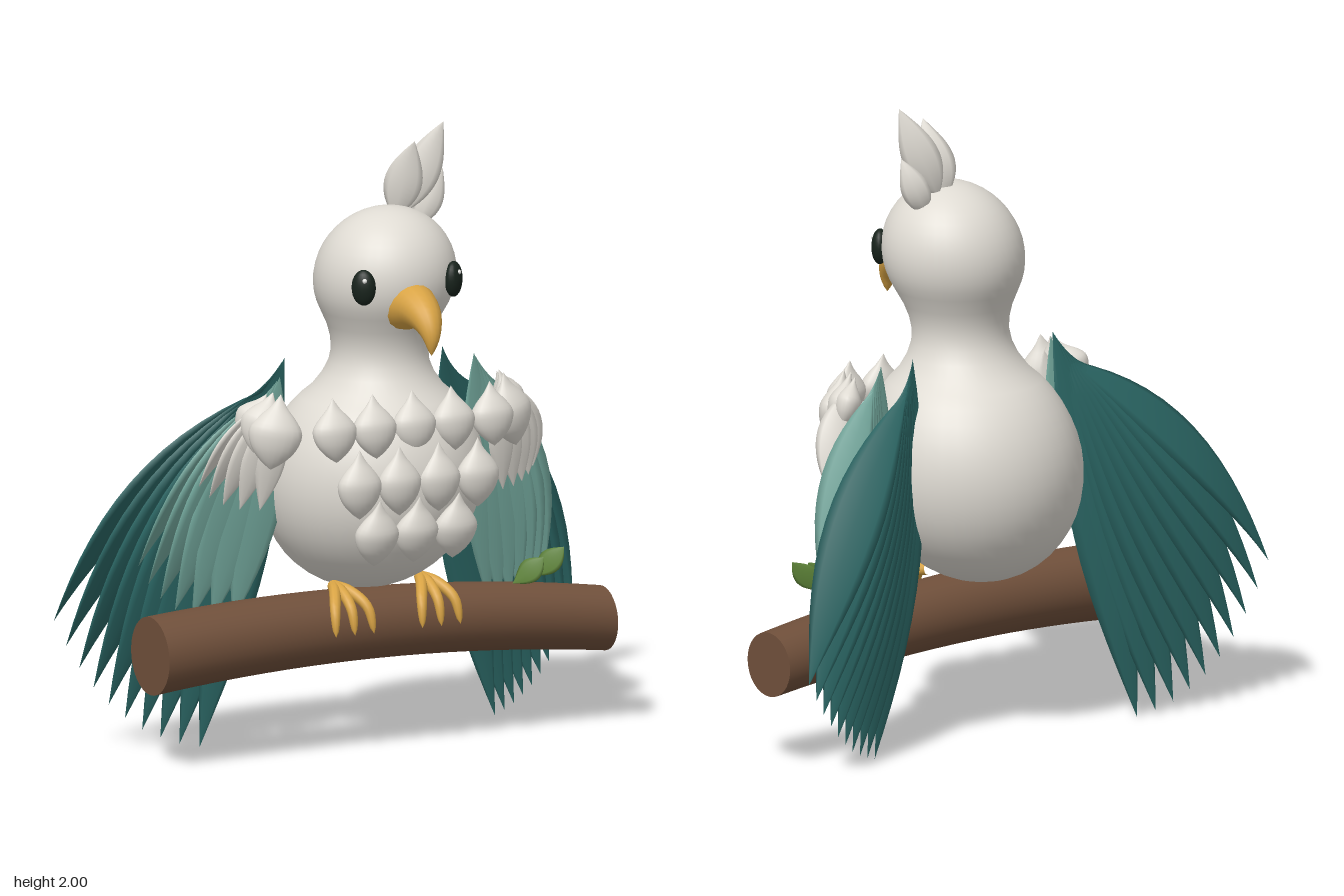
import * as THREE from 'three';

const mat = (name, color) => Object.assign(new THREE.MeshStandardMaterial({ color }), { name });
const V = (a) => new THREE.Vector3(...a);

export function createModel() {
  const white = mat('plumage white', 0xdfdbd3);
  const teal = mat('dark teal', 0x2a6563);
  const paleTeal = mat('pale teal', 0x72a69b);
  const gold = mat('beak gold', 0xd9a445);
  const brown = mat('bark brown', 0x70503b);
  const green = mat('leaf green', 0x5f8539);
  const black = mat('eye black', 0x18231c);
  const glint = mat('eye glint', 0xf2f2ee);

  const model = new THREE.Group();
  model.name = 'perchedBird';
  // the bird and its branch are turned towards the model's left
  const bird = new THREE.Group();
  bird.name = 'birdAndBranch';
  bird.position.set(0.071, 0, -0.046);
  bird.rotation.y = 0.573;
  model.add(bird);

  const add = (name, geometry, material, parent = bird) => {
    const mesh = new THREE.Mesh(geometry, material);
    mesh.name = name;
    parent.add(mesh);
    return mesh;
  };
  const group = (name) => {
    const g = new THREE.Group();
    g.name = name;
    bird.add(g);
    return g;
  };

  // Sweep an oval section along a curve; width and height vary with t
  function sweep(curve, normal, width, height, rows = 14, sides = 8) {
    const pos = [], index = [];
    for (let j = 0; j <= rows; j++) {
      const t = j / rows, c = curve.getPoint(t), T = curve.getTangent(t);
      const S = normal.clone().cross(T).normalize(), N = T.clone().cross(S);
      for (let i = 0; i < sides; i++) {
        const a = (i / sides) * Math.PI * 2;
        const p = c.clone().addScaledVector(S, Math.cos(a) * width(t)).addScaledVector(N, Math.sin(a) * height(t));
        pos.push(p.x, p.y, p.z);
        if (j < rows) {
          const k = (i + 1) % sides, o = j * sides;
          index.push(o + i, o + k, o + sides + i, o + k, o + sides + k, o + sides + i);
        }
      }
    }
    const g = new THREE.BufferGeometry();
    g.setAttribute('position', new THREE.Float32BufferAttribute(pos, 3));
    g.setIndex(index);
    g.computeVertexNormals();
    return g;
  }

  // Pointed feather with a bowed spine
  function feather(base, tip, bow, normal, half, thick, peak = 1) {
    const mid = base.clone().lerp(tip, 0.5).add(bow);
    const curve = new THREE.QuadraticBezierCurve3(base, mid, tip);
    const leaf = (t) => Math.max(0.0005, Math.sin(Math.PI * Math.pow(t, peak)));
    return sweep(curve, normal, (t) => half * leaf(t), (t) => thick * leaf(t));
  }

  // Body, neck and head: one turned profile leaning forward, the belly slightly flattened in front
  const profile = [];
  for (let a = -90; a <= 54; a += 8) {
    const r = THREE.MathUtils.degToRad(a);
    profile.push(new THREE.Vector2(Math.max(0, 0.355 * Math.cos(r)), 0.86 + 0.366 * Math.sin(r)));
  }
  [[0.177, 1.2], [0.159, 1.24], [0.153, 1.28], [0.158, 1.32], [0.171, 1.36]].forEach((p) => profile.push(new THREE.Vector2(...p)));
  for (let a = -30; a <= 90; a += 8) {
    const r = THREE.MathUtils.degToRad(a);
    profile.push(new THREE.Vector2(0.225 * Math.cos(r), 1.52 + 0.225 * Math.sin(r)));
  }
  profile.push(new THREE.Vector2(0, 1.745));
  const bodyGeo = new THREE.LatheGeometry(profile, 40);
  const bp = bodyGeo.attributes.position;
  for (let i = 0; i < bp.count; i++) {
    const y = bp.getY(i), belly = 1 - THREE.MathUtils.smoothstep(y, 1.0, 1.3);
    bp.setX(i, bp.getX(i) + 0.013 * belly);
    bp.setZ(i, bp.getZ(i) * (1 - 0.045 * belly) + 0.079 + 0.142 * (y - 0.86) - 0.014 * belly);
  }
  add('body', bodyGeo, white);

  // Beak
  const beakCurve = new THREE.CatmullRomCurve3([[-0.01, 1.455, 0.325], [-0.012, 1.457, 0.405], [-0.016, 1.43, 0.473], [-0.021, 1.385, 0.512], [-0.025, 1.325, 0.522]].map(V));
  const beakR = (t) => 0.083 * Math.pow(Math.max(0, 1 - t), 0.75) + 0.0005;
  add('beak', sweep(beakCurve, V([1, 0, 0]), beakR, beakR, 16, 16), gold);

  // Eyes with a small glint
  for (const s of [-1, 1]) {
    const x = s * 0.157 - 0.014, z = 0.353 + s * 0.007;
    const eye = add('eye', new THREE.SphereGeometry(1, 20, 14), black);
    eye.scale.set(0.039, 0.057, 0.027);
    eye.position.set(x, 1.525, z);
    eye.rotation.y = s * 0.72;
    const dot = add('eyeGlint', new THREE.SphereGeometry(0.008, 8, 6), glint);
    dot.position.set(x + s * 0.008, 1.55, z + 0.021);
  }

  // Crest
  const crest = group('crest');
  const outward = V([-0.54, 0, 0.84]);
  [
    [[0.07, 1.71, 0.165], [0.184, 2.0, 0.22], 0.06],
    [[0.035, 1.7, 0.17], [0.073, 1.95, 0.235], 0.06],
    [[0.12, 1.66, 0.165], [0.196, 1.845, 0.195], 0.045],
  ].forEach(([b, t, w]) => add('crestFeather', feather(V(b), V(t), V([0.01, 0, -0.02]), outward, w, 0.022, 0.85), white, crest));

  // Plump onion-shaped plume, used on chest and shoulders
  const plumeGeo = new THREE.LatheGeometry(
    new THREE.SplineCurve([[0, -0.11], [0.032, -0.086], [0.062, -0.048], [0.074, 0.0], [0.054, 0.038], [0.022, 0.075], [0.0, 0.112]]
      .map((p) => new THREE.Vector2(...p))).getPoints(18).map((p) => p.setX(Math.max(0, p.x))), 20);
  function plume(name, parent, position, rotation, scale) {
    const m = add(name, plumeGeo, white, parent);
    m.position.set(...position);
    m.rotation.set(...rotation, 'YXZ');
    m.scale.set(...scale);
  }

  // Chest plumes in three rows
  const chest = group('chestPlumes');
  [[5, 1.08, 0.363, -0.15, 0.92], [4, 0.905, 0.396, 0, 1], [3, 0.74, 0.38, 0.2, 1]].forEach(([n, y, z, tilt, tall]) => {
    for (let i = 0; i < n; i++) {
      const x = (i - (n - 1) / 2) * 0.141;
      plume('chestPlume', chest, [x, y, z - 0.06 * x * x], [tilt, x * 0.2, 0], [1, tall, 0.6]);
    }
  });

  // Wings: each row is count, half width, thickness, roots and tips (outer, middle, inner), outer bow
  const wings = {
    rightWing: [-1, [
      [teal, 10, 0.095, 0.012, [-0.33, 1.15, -0.01], [-0.27, 1.25, 0.01], [-0.98, 0.44, -0.2], [-0.76, 0.13, -0.19], [-0.49, 0.0, -0.14], 0.1],
      [paleTeal, 7, 0.08, 0.012, [-0.38, 1.14, 0.07], [-0.33, 1.21, 0.09], [-0.76, 0.62, -0.05], [-0.64, 0.47, -0.03], [-0.45, 0.42, 0.0], 0.06],
      [white, 5, 0.05, 0.012, [-0.43, 1.13, 0.14], [-0.38, 1.14, 0.18], [-0.61, 0.88, 0.07], [-0.54, 0.82, 0.1], [-0.43, 0.8, 0.14], 0.03],
    ]],
    leftWing: [1, [
      [teal, 10, 0.09, 0.012, [0.33, 1.15, 0.01], [0.28, 1.24, 0.04], [0.825, 0.3, -0.1], [0.7, 0.1, -0.11], [0.53, 0.01, -0.07], 0.1],
      [paleTeal, 7, 0.075, 0.012, [0.41, 1.15, 0.08], [0.36, 1.22, 0.1], [0.66, 0.51, 0.02], [0.57, 0.42, 0.02], [0.45, 0.4, 0.03], 0.05],
      [white, 5, 0.05, 0.012, [0.43, 1.13, 0.18], [0.39, 1.14, 0.21], [0.56, 0.84, 0.12], [0.51, 0.8, 0.14], [0.42, 0.79, 0.18], 0.04],
    ]],
  };
  for (const [name, [s, rows]] of Object.entries(wings)) {
    const wing = group(name);
    rows.forEach(([m, n, half, thick, rootA, rootB, tipA, tipM, tipB, bow], layer) => {
      const through = V(tipM).multiplyScalar(2).addScaledVector(V(tipA).add(V(tipB)), -0.5);
      const tips = new THREE.QuadraticBezierCurve3(V(tipA), through, V(tipB));
      for (let i = 0; i < n; i++) {
        const t = i / (n - 1);
        const k = bow * (1 - 1.15 * t);
        const base = V(rootA).lerp(V(rootB), t);
        const spine = V([s * k, k * 0.8, layer ? 0.01 : -0.06]);
        // the leading feathers roll forward, the inner ones lie flat
        const roll = 0.15 - 0.9 * Math.pow(1 - t, 1.6);
        add(['flightFeather', 'covertFeather', 'shoulderFeather'][layer],
          feather(base, tips.getPoint(t), spine, V([s * roll, 0, 1]).normalize(), half, thick, 0.95), m, wing);
      }
    });
    // shoulder plumes
    const x = s > 0 ? 0.02 : 0, z = s > 0 ? 0.035 : 0;
    plume('shoulderPlume', wing, [s * 0.42 - x, 1.065, 0.225 + z], [-0.1, s * 0.4, s * 0.15], [1.15, 1.08, 0.7]);
    plume('shoulderPlume', wing, [s * 0.44 - x, 1.09, 0.18 + z], [-0.2, s * 0.6, s * 0.3], [0.95, 0.9, 0.6]);
    plume('shoulderPlume', wing, [s * 0.45 - x, 1.1, 0.14 + z], [-0.2, s * 0.7, s * 0.45], [0.8, 0.75, 0.55]);
  }

  // Feet: three toes gripping the front of the branch
  for (const s of [-1, 1]) {
    const foot = group(s < 0 ? 'rightFoot' : 'leftFoot');
    for (const d of [-1, 0, 1]) {
      const x = s * 0.155;
      const path = new THREE.CatmullRomCurve3([[x, 0.53, 0.12], [x + d * 0.025, 0.52, 0.175], [x + d * 0.058, 0.475, 0.238], [x + d * 0.068, 0.395, 0.262]].map(V));
      const r = (t) => 0.018 * Math.sqrt(Math.max(0, 1 - t ** 4)) + 0.0005;
      add('toe', sweep(path, V([1, 0, 0]), r, r, 14, 10), gold, foot);
    }
  }

  // Branch: tapered cylinder with a gentle arch
  const branchGeo = new THREE.CylinderGeometry(0.103, 0.125, 1.62, 32, 20);
  branchGeo.rotateZ(-Math.PI / 2);
  const rp = branchGeo.attributes.position;
  for (let i = 0; i < rp.count; i++) {
    const x = rp.getX(i);
    rp.setY(i, rp.getY(i) + 0.395 - 0.075 * x * x - 0.023 * x);
  }
  branchGeo.translate(0.008, 0, 0.104);
  add('branch', branchGeo, brown);

  // Leaves on the branch
  [[[0.435, 0.495, 0.215], [0.516, 0.58, 0.268]], [[0.52, 0.505, 0.18], [0.605, 0.6, 0.241]]].forEach(([b, t]) =>
    add('leaf', feather(V(b), V(t), V([0.005, -0.005, 0.01]), V([-0.5, 0.35, 0.8]), 0.038, 0.005, 1.1), green));

  return model;
}
